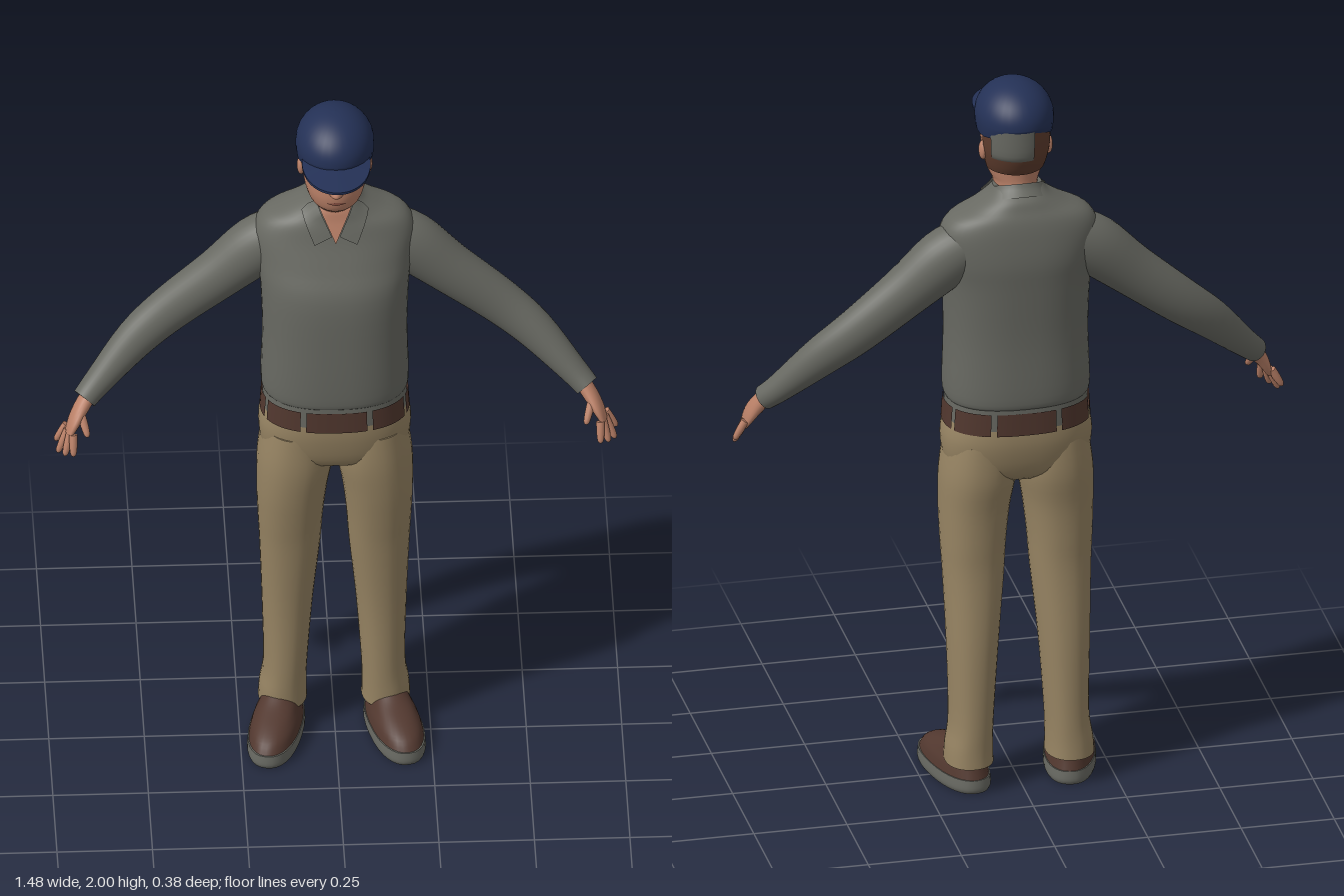
import * as THREE from 'three';

const paint = (name, color) => {
  const m = new THREE.MeshStandardMaterial({ color, side: THREE.DoubleSide });
  m.name = name;
  return m;
};
const navy = paint('navy', 0x243156), skin = paint('skin', 0xbb8168), brown = paint('leatherBrown', 0x52382f);
const grey = paint('knitGrey', 0x686962), khaki = paint('khaki', 0x978463), hairBrown = paint('hairBrown', 0x5e3c2d);
const lip = paint('lip', 0x95594a);

// Cross-sections are rows of [x, y, z, radius across, radius in depth], smoothed by Catmull-Rom.
function smooth(rows, sub = 4) {
  const out = [], at = i => rows[Math.max(0, Math.min(rows.length - 1, i))];
  for (let i = 0; i < rows.length - 1; i++) {
    for (let k = 0; k < sub; k++) {
      const t = k / sub;
      out.push(rows[i].map((b, c) => {
        const a = at(i - 1)[c], d = at(i + 1)[c], e = at(i + 2)[c];
        return 0.5 * (2 * b + (d - a) * t + (2 * a - 5 * b + 4 * d - e) * t * t + (3 * b - a - 3 * d + e) * t ** 3);
      }));
    }
  }
  out.push(rows[rows.length - 1]);
  return out;
}

// Skin rings over the rows: level rings, or rings square to the path when along is set.
function loft(rows, { p = 2, along = false, arc = null, cap = true, seg = 32 } = {}) {
  const R = smooth(rows), pos = [], idx = [], cols = arc ? seg + 1 : seg;
  const [a0, a1] = arc || [0, Math.PI * 2];
  const pow = v => Math.sign(v) * Math.abs(v) ** (2 / p);
  const centre = i => new THREE.Vector3(...R[Math.max(0, Math.min(R.length - 1, i))].slice(0, 3));
  R.forEach((r, i) => {
    const U = new THREE.Vector3(1, 0, 0), V = new THREE.Vector3(0, 0, 1);
    if (along) {
      const T = centre(i + 1).sub(centre(i - 1)).normalize();
      U.crossVectors(T, V).normalize();
      V.crossVectors(U, T);
    }
    for (let j = 0; j < cols; j++) {
      const a = a0 + (a1 - a0) * j / seg;
      const q = centre(i).addScaledVector(U, pow(Math.cos(a)) * r[3]).addScaledVector(V, pow(Math.sin(a)) * r[4]);
      pos.push(q.x, q.y, q.z);
    }
  });
  for (let i = 0; i < R.length - 1; i++) {
    for (let j = 0; j < seg; j++) {
      const a = i * cols + j, b = i * cols + (j + 1) % cols;
      idx.push(a, a + cols, b, a + cols, b + cols, b);
    }
  }
  if (cap && !arc) {
    for (const i of [0, R.length - 1]) {
      const base = pos.length / 3;
      pos.push(...R[i].slice(0, 3), ...pos.slice(i * cols * 3, (i + 1) * cols * 3));
      for (let j = 0; j < cols; j++) {
        const a = base + 1 + j, b = base + 1 + (j + 1) % cols;
        idx.push(base, ...(i === 0 ? [a, b] : [b, a]));
      }
    }
  }
  return build(pos, idx);
}

function build(pos, idx) {
  const g = new THREE.BufferGeometry();
  g.setAttribute('position', new THREE.Float32BufferAttribute(pos, 3));
  g.setIndex(idx);
  g.computeVertexNormals();
  return g;
}

function warp(g, rule) {
  const P = g.attributes.position, v = new THREE.Vector3();
  for (let i = 0; i < P.count; i++) {
    rule(v.fromBufferAttribute(P, i));
    P.setXYZ(i, v.x, v.y, v.z);
  }
  g.computeVertexNormals();
  return g;
}

// Depth of the front surface of a level loft at (x, y).
function frontOf(rows, p) {
  const R = smooth(rows);
  return (x, y) => {
    let i = 0;
    while (i < R.length - 2 && R[i + 1][1] < y) i++;
    const t = THREE.MathUtils.clamp((y - R[i][1]) / (R[i + 1][1] - R[i][1]), 0, 1);
    const [z, rx, rz] = [2, 3, 4].map(c => THREE.MathUtils.lerp(R[i][c], R[i + 1][c], t));
    return z + rz * (1 - Math.min(1, Math.abs(x) / rx) ** p) ** (1 / p);
  };
}

// Thin four-cornered patch laid on a front surface.
function patch([a, b, c, d], front, off, n = 8) {
  const pos = [], idx = [], mix = THREE.MathUtils.lerp;
  for (let i = 0; i <= n; i++) {
    for (let j = 0; j <= n; j++) {
      const [x, y] = [0, 1].map(k => mix(mix(a[k], b[k], j / n), mix(d[k], c[k], j / n), i / n));
      pos.push(x, y, front(x, y) + off);
      if (i < n && j < n) {
        const q = i * (n + 1) + j;
        idx.push(q, q + n + 1, q + 1, q + 1, q + n + 1, q + n + 2);
      }
    }
  }
  return build(pos, idx);
}

export function createModel() {
  const model = new THREE.Group();
  model.name = 'standingMan';
  const add = (name, g, mat, parent = model) => {
    const m = new THREE.Mesh(g, mat);
    m.name = name;
    parent.add(m);
    return m;
  };
  const BACK = Math.PI * 1.5, FRONT = Math.PI / 2;

  // Sweater body
  const torso = [[0, 1.125, -.04, .165, .12], [0, 1.115, -.04, .186, .136], [0, 1.15, -.04, .194, .143],
    [0, 1.3, -.038, .19, .14], [0, 1.45, -.044, .195, .139], [0, 1.53, -.06, .205, .126], [0, 1.6, -.07, .21, .108],
    [0, 1.645, -.072, .185, .096], [0, 1.675, -.07, .125, .085], [0, 1.7, -.066, .083, .077], [0, 1.72, -.06, .065, .06]];
  const chest = frontOf(torso.slice(1), 2.4);
  add('sweater', loft(torso, { p: 2.4, seg: 48 }), grey);

  // Collar band, open neck and collar flaps
  add('collarBand', warp(loft([[0, 1.672, -.053, .09, .088], [0, 1.695, -.05, .077, .073], [0, 1.712, -.05, .068, .064]],
    { arc: [FRONT + .6, FRONT + Math.PI * 2 - .6] }), v => { v.y -= (v.z + .05) * .45; }), grey);
  add('openNeck', patch([[-.045, 1.715], [.045, 1.715], [0, 1.612], [0, 1.612]], chest, .006), skin);
  for (const s of [1, -1]) {
    add('collarFlap', patch([[s * .05, 1.725], [s * .088, 1.69], [s * .056, 1.612], [s * .01, 1.635]], chest, .012), grey);
  }

  // Head and neck
  const head = [[0, 1.64, -.055, .062, .06], [0, 1.7, -.045, .057, .062], [0, 1.728, -.027, .06, .08],
    [0, 1.747, -.018, .069, .088], [0, 1.78, -.016, .079, .094], [0, 1.82, -.024, .086, .102],
    [0, 1.87, -.024, .091, .111], [0, 1.92, -.024, .085, .105]];
  const face = frontOf(head, 2);
  add('head', loft(head), skin);
  add('nose', loft([[0, 1.794, .068, .012, .012], [0, 1.801, .071, .018, .028], [0, 1.811, .074, .016, .031],
    [0, 1.83, .074, .01, .019], [0, 1.856, .074, .008, .01]], { seg: 16 }), skin);
  const dash = (x, y, w, h) => patch([[x - w, y], [x, y + h], [x + w, y], [x, y - h]], face, .003);
  add('mouth', dash(0, 1.771, .026, .006), lip);
  for (const s of [1, -1]) {
    add('eye', dash(s * .034, 1.842, .014, .005), hairBrown);
    add('ear', new THREE.SphereGeometry(1, 16, 12).scale(.011, .027, .018).translate(s * .088, 1.815, -.04), skin);
  }

  // Hair with a grey patch
  const hair = [[0, 1.765, -.022, .079, .09], [0, 1.79, -.022, .086, .104], [0, 1.83, -.025, .092, .114],
    [0, 1.9, -.025, .094, .117]];
  add('hair', loft(hair, { arc: [BACK - 1.35, BACK + 1.35] }), hairBrown);
  add('greyHair', loft(hair.slice(1).map(([x, y, z, a, b]) => [x, Math.max(y, 1.808), z, a + .004, b + .004]),
    { arc: [BACK - .3, BACK + .95] }), grey);

  // Cap crown and brim
  const crown = [[0, 1.866, -.022, .099, .12], [0, 1.885, -.022, .102, .123]];
  for (let k = 0; k <= 8; k++) {
    const a = k / 8 * Math.PI / 2, r = Math.max(Math.cos(a), .001);
    crown.push([0, 1.905 + .095 * Math.sin(a), -.022, .103 * r, .124 * r]);
  }
  add('capCrown', warp(loft(crown, { cap: false }), v => {
    const low = THREE.MathUtils.clamp((1.905 - v.y) / .039, 0, 1);
    v.y += low * (v.z > 0 ? v.z * .25 : Math.max(0, -v.z - .08) * .5);
  }), navy);
  add('capBrim', warp(new THREE.CylinderGeometry(1, 1, .007, 40).scale(.09, 1, .128), v => {
    v.z += .061;
    v.y += 1.898 - Math.max(0, v.z - .09) * .13 - v.x * v.x * 1.2;
  }).toNonIndexed(), navy).geometry.computeVertexNormals();

  // Trouser seat
  add('trouserSeat', loft([[0, .885, -.045, .13, .07], [0, .92, -.042, .185, .112], [0, 1, -.042, .2, .133],
    [0, 1.07, -.04, .188, .134], [0, 1.12, -.04, .18, .13]], { p: 2.4, seg: 48 }), khaki);

  // Belt in sections over a grey band
  add('beltBacking', loft([[0, 1.055, -.04, .19, .137], [0, 1.12, -.04, .187, .136]], { p: 2.4, cap: false, seg: 48 }), grey);
  for (let k = 0; k < 8; k++) {
    const a = FRONT + k * Math.PI / 4;
    add('beltSection', loft([[0, 1.042, -.04, .196, .14], [0, 1.105, -.04, .192, .14]],
      { p: 2.4, arc: [a - .35, a + .35], seg: 10 }), brown);
  }

  for (const s of [1, -1]) {
    const side = rows => rows.map(([x, ...rest]) => [s * x, ...rest]);

    // Trouser leg
    add('trouserLeg', loft(side([[.135, .075, -.077, .064, .079], [.134, .12, -.075, .062, .079],
      [.128, .2, -.073, .058, .08], [.123, .4, -.067, .067, .083], [.117, .6, -.05, .08, .088],
      [.116, .7, -.043, .086, .097], [.112, .8, -.038, .093, .108], [.103, .9, -.04, .1, .12],
      [.1, 1, -.04, .088, .118]]), { p: 2.2 }), khaki);

    // Shoe, toes turned out
    const shoe = new THREE.Group();
    shoe.name = 'shoe';
    shoe.position.set(s * .155, 0, .006);
    shoe.rotation.y = s * .22;
    model.add(shoe);
    add('shoeSole', loft([[0, 0, 0, .066, .152], [0, .012, 0, .07, .157], [0, .038, 0, .068, .154]], { p: 2.3 }), grey, shoe);
    add('shoeUpper', loft([[0, .034, 0, .067, .153], [0, .06, -.007, .061, .138], [0, .08, -.025, .052, .115],
      [0, .1, -.055, .043, .08], [0, .115, -.07, .035, .06]], { p: 2.2 }), brown, shoe);

    // Sleeve
    add('sleeve', loft(side([[.13, 1.575, -.08, .07, .07], [.2, 1.53, -.08, .08, .072], [.3, 1.445, -.075, .07, .062],
      [.43, 1.34, -.067, .062, .053], [.523, 1.262, -.042, .054, .047], [.62, 1.163, .005, .038, .038],
      [.658, 1.125, .03, .033, .034]]), { along: true }), grey);

    // Hand
    add('palm', loft(side([[.64, 1.145, .022, .021, .024], [.665, 1.11, .042, .02, .029], [.686, 1.075, .06, .016, .035],
      [.7, 1.045, .07, .01, .031]]), { along: true, seg: 20 }), skin);
    const fingers = [[.69, 1.055, .094, .69, 1, .115], [.697, 1.05, .078, .712, .99, .097],
      [.703, 1.05, .061, .73, .985, .074], [.706, 1.055, .045, .735, 1.004, .046], [.668, 1.1, .066, .652, 1.05, .1]];
    for (const f of fingers) {
      const rows = [[0, .011], [.5, .0105], [.88, .008], [1, .003]].map(([t, r]) =>
        [...[0, 1, 2].map(c => THREE.MathUtils.lerp(f[c], f[c + 3], t)), r, r]);
      add('finger', loft(side(rows), { along: true, seg: 10 }), skin);
    }
  }
  return model;
}
